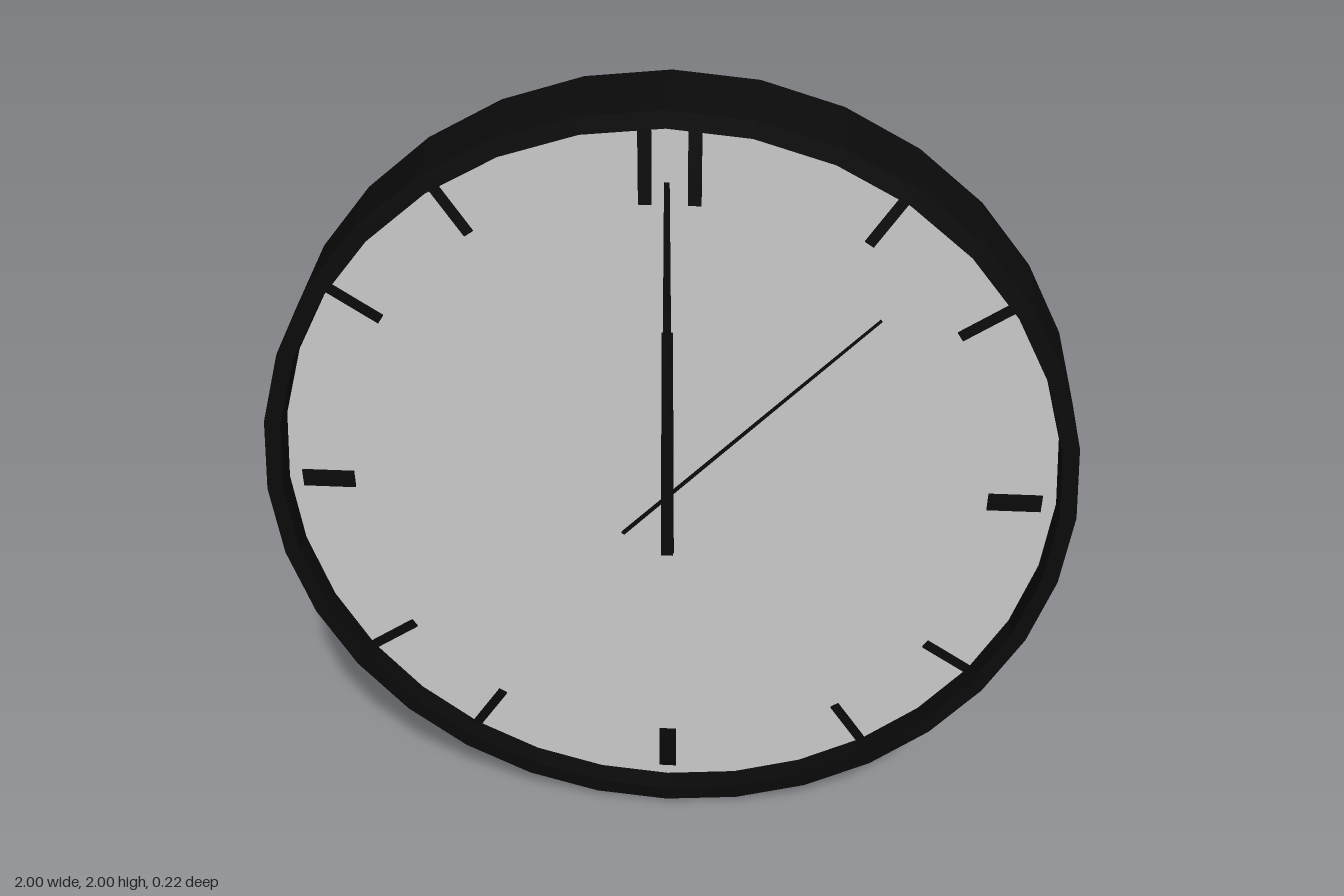
import * as THREE from 'three';

const SIDES = 32;
const FACE_Z = 0.05;

export function createModel() {
  const clock = new THREE.Group();
  clock.name = 'wallClock';
  const black = new THREE.MeshStandardMaterial({ color: 0x0a0a0a, flatShading: true });
  const grey = new THREE.MeshStandardMaterial({ color: 0xcccccc });

  const add = (name, geometry, material, parent) => {
    const mesh = new THREE.Mesh(geometry, material);
    mesh.name = name;
    parent.add(mesh);
    return mesh;
  };

  // Everything is built around the dial centre, which sits at y = 1
  const body = new THREE.Group();
  body.name = 'clockBody';
  body.position.y = 1;
  clock.add(body);

  // Case: closed back, slightly tapered wall, flat rim and recess down to the dial
  const profile = [[0, -0.11], [1, -0.11], [0.985, 0.11], [0.945, 0.11], [0.945, FACE_Z - 0.01]]
    .map(([r, z]) => new THREE.Vector2(r, z));
  add('case', new THREE.LatheGeometry(profile, SIDES).rotateX(Math.PI / 2), black, body);

  // Dial
  add('dial', new THREE.CircleGeometry(0.946, SIDES).translate(0, 0, FACE_Z), grey, body);

  // Radial bar on the dial; steps count clockwise from the top, shift is sideways
  const addMark = (name, step, inner, outer, width, shift = 0) => {
    const bar = new THREE.BoxGeometry(width, outer - inner, 0.006);
    bar.translate(shift, (inner + outer) / 2, FACE_Z + 0.003);
    add(name, bar, black, body).rotation.z = -step * Math.PI * 2 / SIDES;
  };
  for (const step of [3, 5, 11, 13, 19, 21, 27, 29]) addMark('hourTick', step, 0.805, 0.95, 0.024);

  // Plain bars for the main hours, doubled at the top
  for (const shift of [-0.05, 0.06]) addMark('topHourMark', 0, 0.75, 0.92, 0.03, shift);
  for (const step of [8, 16, 24]) addMark('mainHourMark', step, 0.78, 0.91, 0.045);

  // Tapered hand running from behind the pivot (tail) to its tip
  const addHand = (name, tail, tip, tailWidth, tipWidth, z, angle = 0) => {
    const shape = new THREE.Shape([
      new THREE.Vector2(-tailWidth / 2, -tail),
      new THREE.Vector2(tailWidth / 2, -tail),
      new THREE.Vector2(tipWidth / 2, tip),
      new THREE.Vector2(-tipWidth / 2, tip),
    ]);
    const geometry = new THREE.ExtrudeGeometry(shape, { depth: 0.006, bevelEnabled: false });
    const hand = add(name, geometry, black, body);
    hand.position.z = z;
    hand.rotation.z = -angle;
  };
  addHand('hourHand', 0.18, 0.44, 0.032, 0.026, FACE_Z + 0.012);
  addHand('minuteHand', 0.18, 0.81, 0.03, 0.012, FACE_Z + 0.021);
  addHand('secondHand', 0.157, 0.695, 0.009, 0.005, FACE_Z + 0.03, Math.PI / 4.06);

  return clock;
}
